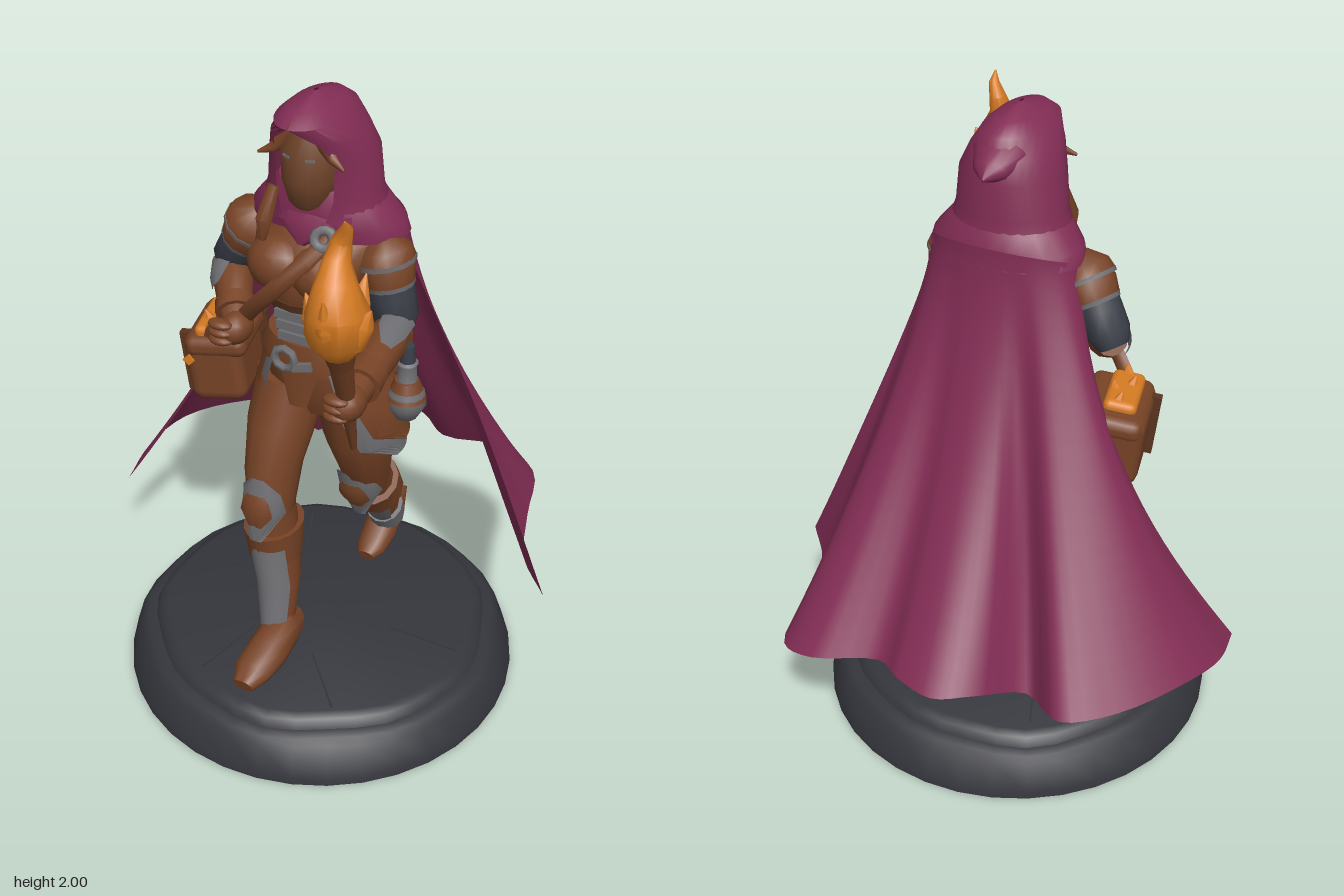
import * as THREE from 'three';
import { toCreasedNormals } from 'three/addons/utils/BufferGeometryUtils.js';
import { RoundedBoxGeometry } from 'three/addons/geometries/RoundedBoxGeometry.js';
import { ParametricGeometry } from 'three/addons/geometries/ParametricGeometry.js';

const PI = Math.PI;
const mat = (name, color) => {
  const m = new THREE.MeshStandardMaterial({ color, side: THREE.DoubleSide });
  m.name = name;
  return m;
};

// Skin through elliptical rings [x, y, z, rx, rz, fromAngle, toAngle]; a ring with angles is an open plate.
function ringGeometry(rings, tilted, seg) {
  const open = rings[0].length > 5, pos = [], idx = [], up = new THREE.Vector3(0, 1, 0);
  const centres = rings.map(r => new THREE.Vector3(r[0], r[1], r[2]));
  rings.forEach(([, , , rx, rz, a0 = 0, a1 = 2 * PI], i) => {
    const dir = centres[Math.min(i + 1, rings.length - 1)].clone().sub(centres[Math.max(i - 1, 0)]).normalize();
    const q = new THREE.Quaternion();
    if (tilted) q.setFromUnitVectors(up, dir);
    for (let j = 0; j <= seg; j++) {
      const a = a0 + (a1 - a0) * j / seg;
      const p = new THREE.Vector3(rx * Math.cos(a), 0, rz * Math.sin(a)).applyQuaternion(q).add(centres[i]);
      pos.push(p.x, p.y, p.z);
    }
  });
  const w = seg + 1, last = (rings.length - 1) * w;
  for (let i = 0; i < rings.length - 1; i++) for (let j = 0; j < seg; j++) {
    const a = i * w + j;
    idx.push(a, a + w, a + 1, a + 1, a + w, a + w + 1);
  }
  if (!open) {
    const c = pos.length / 3, e = centres[centres.length - 1];
    pos.push(...centres[0].toArray(), ...e.toArray());
    for (let j = 0; j < seg; j++) idx.push(c, j, j + 1, c + 1, last + j + 1, last + j);
  }
  const g = new THREE.BufferGeometry();
  g.setAttribute('position', new THREE.Float32BufferAttribute(pos, 3));
  g.setIndex(idx);
  return toCreasedNormals(g, 0.8);
}

export function createModel() {
  const root = new THREE.Group();
  const cloth = mat('plum cloth', 0x822d54), leather = mat('leather', 0x774326), darkLeather = mat('dark leather', 0x5a3420);
  const steel = mat('steel', 0x6e6e72), slate = mat('slate cloth', 0x3a3e47), stone = mat('stone', 0x35363c);
  const skin = mat('skin', 0x70442a), fire = mat('fire', 0xd67b22);

  const add = (name, geo, m, p = [0, 0, 0], r = [0, 0, 0], s = [1, 1, 1]) => {
    const o = new THREE.Mesh(geo, m);
    o.name = name;
    o.position.set(...p); o.rotation.set(...r); o.scale.set(...s);
    root.add(o);
  };
  const stack = (name, m, rings, seg = 16) => add(name, ringGeometry(rings, false, seg), m);
  const limb = (name, m, rings, seg = 12) => add(name, ringGeometry(rings, true, seg), m);
  const ball = (name, m, p, s, r) => add(name, new THREE.SphereGeometry(1, 14, 10), m, p, r, s);
  const box = (name, m, p, s, r) => add(name, new THREE.BoxGeometry(...s), m, p, r);

  // Rocky base with a stepped, worn rim and cracks
  const rim = [[0, 0], [0.63, 0], [0.628, 0.025], [0.59, 0.11], [0.57, 0.13], [0.54, 0.136], [0.525, 0.165], [0.5, 0.175], [0, 0.177]];
  const base = new THREE.LatheGeometry(rim.map(p => new THREE.Vector2(...p)), 36);
  const bp = base.attributes.position;
  for (let i = 0; i < bp.count; i++) {
    const x = bp.getX(i), y = bp.getY(i), z = bp.getZ(i), a = Math.atan2(z, x);
    const k = y > 0.05 ? 1 + 0.012 * Math.sin(5 * a) + 0.01 * Math.cos(9 * a) : 1;
    bp.setXYZ(i, x * k, y, z * k);
  }
  add('base', toCreasedNormals(base, 0.75), stone, [0.026, 0, 0.06]);
  for (let i = 0; i < 6; i++) {
    const a = i * 1.05 + 0.2 * Math.sin(i * 3);
    box('stoneCrack', stone, [0.03 + 0.36 * Math.cos(a), 0.175, 0.06 + 0.36 * Math.sin(a)], [0.24, 0.006, 0.006], [0, -a + 0.3 * Math.sin(i), 0]);
  }

  // Cape: a gathered collar line flaring to a wavy hem
  const hem = new THREE.CatmullRomCurve3([
    [-0.72, 0.42, 0.06], [-0.74, 0.45, -0.1], [-0.7, 0.48, -0.27], [-0.57, 0.47, -0.47], [-0.43, 0.46, -0.57],
    [-0.28, 0.43, -0.48], [-0.18, 0.5, -0.63], [-0.08, 0.5, -0.69], [0.05, 0.5, -0.66], [0.15, 0.48, -0.6],
    [0.35, 0.46, -0.665], [0.48, 0.43, -0.62], [0.55, 0.42, -0.4], [0.62, 0.41, -0.2], [0.74, 0.41, -0.06],
  ].map(p => new THREE.Vector3(...p)));
  const lerp = THREE.MathUtils.lerp;
  add('cape', new ParametricGeometry((u, v, t) => {
    const h = hem.getPoint(u), s = Math.sin(PI * u);
    t.set(lerp(0.04 - 0.23 * Math.cos(PI * u), h.x, v ** 1.35), lerp(1.59 + 0.06 * s, h.y, v),
      lerp(0.03 - 0.15 * s, h.z, v ** 1.65) - 0.11 * Math.sin(PI * v) * (2 * u - 1) ** 2);
  }, 56, 20), cloth);

  // Mantle and pointed hood with a face opening
  stack('mantle', cloth, [[0.04, 1.59, 0.025, 0.238, 0.15], [0.04, 1.63, 0.035, 0.228, 0.15], [0.04, 1.68, 0.045, 0.185, 0.147], [0.04, 1.74, 0.06, 0.13, 0.12]], 24);
  limb('mantlePoint', cloth, [[0.04, 1.58, 0.2, 0.01, 0.01], [0.04, 1.63, 0.17, 0.09, 0.04], [0.04, 1.7, 0.13, 0.1, 0.04]]);
  const hood = (y, z, rx, rz, gap) => [0.04, y, z, rx, rz, PI / 2 + gap, 2.5 * PI - gap];
  stack('hood', cloth, [hood(1.65, 0.045, 0.19, 0.15, 0.35), hood(1.72, 0.055, 0.165, 0.142, 0.55), hood(1.83, 0.06, 0.152, 0.15, 0.65),
    hood(1.89, 0.085, 0.128, 0.155, 0.58), hood(1.945, 0.11, 0.095, 0.16, 0.02), hood(1.975, 0.11, 0.06, 0.115, 0), hood(2, 0.11, 0.005, 0.01, 0)], 28);
  limb('hoodPeak', cloth, [[0.04, 1.89, 0.06, 0.08, 0.07], [0.04, 1.885, -0.02, 0.085, 0.06], [0.04, 1.86, -0.08, 0.05, 0.035], [0.04, 1.85, -0.12, 0.004, 0.004]], 16);

  // Head, eyes and loose hair
  stack('head', skin, [[0.04, 1.66, 0.13, 0.035, 0.04], [0.04, 1.7, 0.14, 0.06, 0.07], [0.04, 1.77, 0.13, 0.085, 0.095], [0.04, 1.85, 0.12, 0.092, 0.1], [0.04, 1.92, 0.11, 0.07, 0.08]]);
  stack('neck', skin, [[0.04, 1.58, 0.08, 0.06, 0.06], [0.04, 1.72, 0.11, 0.05, 0.055]]);
  for (const s of [-1, 1]) {
    box('eye', steel, [0.04 + s * 0.036, 1.842, 0.212], [0.026, 0.006, 0.006], [0, s * 0.4, 0]);
    limb('hairLock', leather, [[0.04 + s * 0.13, 1.83, 0.2, 0.004, 0.004], [0.04 + s * 0.09, 1.845, 0.185, 0.015, 0.012], [0.04 + s * 0.05, 1.895, 0.175, 0.03, 0.02], [0.04, 1.92, 0.175, 0.02, 0.015]], 8);
  }
  limb('braid', leather, [[-0.07, 1.58, 0.22, 0.01, 0.01], [-0.065, 1.64, 0.22, 0.025, 0.02], [-0.055, 1.73, 0.18, 0.018, 0.018]], 8);

  // Torso: hips, slate waist, leather bodice
  stack('hips', leather, [[0.04, 1.0, 0.04, 0.14, 0.12], [0.04, 1.1, 0.06, 0.18, 0.14], [0.04, 1.2, 0.08, 0.15, 0.12]]);
  stack('waist', slate, [[0.03, 1.18, 0.08, 0.14, 0.115], [0.03, 1.28, 0.1, 0.118, 0.1], [0.03, 1.4, 0.11, 0.135, 0.115]]);
  stack('bodice', leather, [[0.03, 1.39, 0.11, 0.135, 0.125], [0.03, 1.43, 0.115, 0.155, 0.135], [0.03, 1.51, 0.11, 0.175, 0.14], [0.03, 1.58, 0.08, 0.185, 0.12], [0.03, 1.66, 0.06, 0.09, 0.08]]);
  stack('underbustBand', darkLeather, [[0.03, 1.375, 0.11, 0.138, 0.128], [0.03, 1.41, 0.113, 0.148, 0.135]]);
  stack('stomachPanel', leather, [[0.03, 1.2, 0.085, 0.14, 0.125, 1.0, 2.14], [0.03, 1.29, 0.1, 0.122, 0.11, 1.0, 2.14], [0.03, 1.4, 0.11, 0.14, 0.127, 1.0, 2.14]]);
  for (const s of [-1, 1]) ball('bust', leather, [0.03 + s * 0.065, 1.5, 0.18], [0.1, 0.085, 0.088]);
  for (let i = 0; i < 3; i++) box('bodiceClasp', steel, [0.03, 1.29 + i * 0.04, 0.216 + i * 0.008], [0.11, 0.027, 0.02]);
  stack('belt', leather, [[0.035, 1.17, 0.075, 0.18, 0.15], [0.03, 1.21, 0.08, 0.175, 0.148], [0.03, 1.265, 0.09, 0.145, 0.13]], 20);
  add('beltBuckle', new THREE.TorusGeometry(0.033, 0.013, 6, 8), steel, [0.0, 1.22, 0.232]);
  box('buckleTongue', steel, [0.055, 1.205, 0.23], [0.06, 0.025, 0.015], [0, 0.2, 0.2]);
  stack('frontTab', leather, [[0.03, 1.06, 0.07, 0.16, 0.155, 1.35, 1.7], [0.03, 1.2, 0.08, 0.16, 0.145, 1.1, 1.95]], 8);

  // Hip guards: steel edged leather panels flaring over the thighs
  const tasset = [[0.865, 0.03, 0.25, 0.19, -0.8, 0.15], [0.92, 0.035, 0.245, 0.195, -0.85, 0.75], [1.02, 0.045, 0.23, 0.195, -0.85, 0.92], [1.12, 0.06, 0.205, 0.185, -0.8, 0.95], [1.19, 0.07, 0.18, 0.17, -0.75, 1.0]];
  for (const s of [-1, 1]) {
    const k = s < 0 ? 0.88 : 1;
    const panel = (grow, inset, lift) => tasset.map(([y, z, rx, rz, a, b]) => {
      const f = a + inset, t = b - inset;
      return [0.035, y + (y < 1.1 ? lift : 0), z, rx * k + grow, rz + grow, s > 0 ? f : PI - t, s > 0 ? t : PI - f];
    });
    stack('hipGuardTrim', steel, panel(0, 0, 0), 14);
    stack('hipGuard', leather, panel(0.008, 0.17, 0.045), 14);
  }

  // Legs: leading right leg, trailing left leg
  stack('rightThigh', leather, [[-0.05, 0.68, 0.24, 0.07, 0.08], [-0.06, 0.82, 0.2, 0.085, 0.105], [-0.06, 0.95, 0.14, 0.105, 0.12], [-0.05, 1.1, 0.08, 0.11, 0.12]]);
  stack('rightBoot', leather, [[0.0, 0.2, 0.3, 0.05, 0.07], [0.0, 0.31, 0.285, 0.047, 0.065], [-0.02, 0.42, 0.24, 0.058, 0.08], [-0.045, 0.56, 0.225, 0.07, 0.09], [-0.05, 0.72, 0.24, 0.068, 0.08]]);
  limb('rightFoot', leather, [[0.01, 0.23, 0.23, 0.045, 0.055], [0.015, 0.25, 0.3, 0.06, 0.075], [0.015, 0.23, 0.4, 0.066, 0.06], [0.01, 0.215, 0.48, 0.062, 0.042], [0.01, 0.2, 0.535, 0.035, 0.025]]);
  stack('rightShinPlate', steel, [[0, 0.27, 0.29, 0.055, 0.072, 0.6, 2.54], [-0.02, 0.42, 0.245, 0.068, 0.088, 0.5, 2.64], [-0.045, 0.56, 0.23, 0.08, 0.097, 0.6, 2.54]], 10);
  stack('rightCalfBand', leather, [[-0.045, 0.5, 0.225, 0.08, 0.092], [-0.05, 0.61, 0.225, 0.088, 0.112]]);
  limb('leftThigh', leather, [[0.12, 0.64, -0.07, 0.07, 0.075], [0.14, 0.77, -0.01, 0.085, 0.09], [0.14, 0.92, 0.04, 0.105, 0.115], [0.12, 1.1, 0.06, 0.11, 0.12]]);
  limb('leftBoot', leather, [[0.07, 0.28, -0.35, 0.045, 0.05], [0.075, 0.36, -0.3, 0.048, 0.055], [0.1, 0.5, -0.2, 0.068, 0.075], [0.12, 0.66, -0.08, 0.068, 0.07]]);
  limb('leftShinPlate', steel, [[0.076, 0.36, -0.3, 0.056, 0.063, 0.7, 2.44], [0.1, 0.5, -0.2, 0.077, 0.083, 0.6, 2.54], [0.105, 0.53, -0.18, 0.077, 0.083, 0.6, 2.54]], 10);
  limb('leftFoot', leather, [[0.06, 0.36, -0.42, 0.04, 0.04], [0.06, 0.3, -0.37, 0.054, 0.062], [0.06, 0.24, -0.3, 0.058, 0.058], [0.06, 0.21, -0.23, 0.05, 0.035], [0.06, 0.2, -0.195, 0.03, 0.02]]);
  limb('leftCalfBand', leather, [[0.105, 0.52, -0.18, 0.085, 0.09], [0.115, 0.6, -0.12, 0.085, 0.09]]);
  limb('leftAnkleGuard', steel, [[0.07, 0.29, -0.335, 0.058, 0.063], [0.077, 0.36, -0.295, 0.061, 0.068]]);
  for (const [x, y, z, r] of [[-0.05, 0.72, 0.25, -0.1], [0.125, 0.68, -0.04, 0.35]]) {
    const knee = new THREE.Group();
    knee.name = 'kneeGuard';
    const plate = (m, k, g) => knee.add(new THREE.Mesh(ringGeometry([[0, -0.12 * k, -0.005, 0.075 + g, 0.085 + g, 1.3, 1.84],
      [0, -0.02, 0, 0.077 + g, 0.095 + g, PI / 2 - 1.3 * k, PI / 2 + 1.3 * k], [0, 0.05 * k, 0, 0.077 + g, 0.09 + g, PI / 2 - k, PI / 2 + k],
      [0, 0.1 * k, 0, 0.07 + g, 0.08 + g, 1.3, 1.84]], false, 8), m));
    plate(steel, 1, 0); plate(leather, 0.55, 0.007);
    knee.position.set(x, y, z); knee.rotation.x = r;
    root.add(knee);
  }

  // Arms: shoulder, elbow, hand for each side
  const arms = { left: [[0.23, 1.55, 0.07], [0.28, 1.34, 0.08], [0.315, 1.3, 0.42]], right: [[-0.18, 1.55, 0.07], [-0.29, 1.37, 0.03], [-0.17, 1.28, 0.21]] };
  for (const [side, [s, e, h]] of Object.entries(arms)) {
    const at = (a, b, t, r, q = r) => [...a.map((v, i) => lerp(v, b[i], t)), r, q];
    limb(side + 'UpperArm', slate, [at(e, s, -0.1, 0.045), at(e, s, 0.1, 0.065), at(e, s, 0.4, 0.067), at(e, s, 1, 0.068)]);
    limb(side + 'SleeveCuff', steel, [at(e, s, 0.52, 0.07), at(e, s, 0.58, 0.073)]);
    limb(side + 'Sleeve', leather, [at(e, s, 0.57, 0.072), at(e, s, 0.8, 0.08), at(e, s, 1.12, 0.06)]);
    limb(side + 'ShoulderTrim', steel, [at(e, s, 0.84, 0.086), at(e, s, 0.9, 0.087)]);
    limb(side + 'ShoulderGuard', leather, [at(e, s, 0.88, 0.086), at(e, s, 1.05, 0.078), at(e, s, 1.25, 0.03)]);
    limb(side + 'Bracer', leather, [at(e, h, 0.05, 0.05), at(e, h, 0.3, 0.062), at(e, h, 0.7, 0.052), at(e, h, 1, 0.042)]);
    limb(side + 'BracerPlate', steel, [[...at(e, h, 0.04, 0.06), -1.2, 1.5], [...at(e, h, 0.3, 0.069), -0.8, 1.1], [...at(e, h, 0.5, 0.064), -0.2, 0.6]]
      .map(([x, y, z, rx, rz, a, b]) => side === 'left' ? [x, y, z, rx, rz, a * 0.8 - 1.25, b * 0.6 - 1.25] : [x, y, z, rx, rz, PI - b, PI - a]), 10);
    limb(side + 'BracerCuff', leather, [at(e, h, 0.66, 0.058), at(e, h, 0.86, 0.06)]);
    ball(side + 'Hand', leather, at(e, h, 1.07, 0).slice(0, 3), [0.046, 0.05, 0.062]);
    for (let i = 0; i < 3; i++) ball(side + 'Finger', leather, [h[0] - 0.015, h[1] - 0.028 + i * 0.026, h[2] + 0.065], [0.038, 0.015, 0.025]);
  }

  // Torch with a licking flame
  limb('torchHandle', leather, [[0.29, 1.09, 0.36, 0.01, 0.01], [0.31, 1.27, 0.435, 0.022, 0.022], [0.335, 1.49, 0.53, 0.034, 0.034]]);
  limb('torchHead', leather, [[0.333, 1.47, 0.52, 0.036, 0.036], [0.343, 1.56, 0.555, 0.052, 0.052]], 10);
  limb('flame', fire, [[0.34, 1.53, 0.55, 0.05, 0.05], [0.345, 1.59, 0.565, 0.082, 0.085], [0.35, 1.66, 0.575, 0.08, 0.085], [0.34, 1.72, 0.565, 0.055, 0.065],
    [0.325, 1.77, 0.53, 0.035, 0.04], [0.33, 1.82, 0.515, 0.026, 0.028], [0.35, 1.86, 0.53, 0.016, 0.016], [0.355, 1.89, 0.55, 0.002, 0.002]]);
  for (const [x, y, z] of [[0.44, 1.68, 0.57], [0.37, 1.71, 0.46], [0.275, 1.7, 0.6], [0.35, 1.72, 0.65]])
    limb('flameLick', fire, [[lerp(0.35, x, 0.4), 1.58, lerp(0.57, z, 0.4), 0.04, 0.04], [lerp(0.35, x, 0.8), 1.64, lerp(0.57, z, 0.8), 0.028, 0.028], [x, y, z, 0.002, 0.002]], 8);

  // Chest strap and its ring
  limb('chestStrap', leather, [[-0.19, 1.25, 0.17, 0.025, 0.012], [-0.1, 1.36, 0.235, 0.025, 0.012], [0.0, 1.47, 0.275, 0.025, 0.012], [0.08, 1.56, 0.25, 0.025, 0.012], [0.14, 1.64, 0.14, 0.025, 0.012]], 8);
  add('strapRing', new THREE.TorusGeometry(0.026, 0.015, 6, 12), steel, [0.11, 1.615, 0.2], [-0.5, 0.3, 0]);

  // Satchel with flap, straps and glowing goods spilling over the top
  const tilt = [0, 0.25, 0.12];
  add('satchel', new RoundedBoxGeometry(0.18, 0.23, 0.27, 2, 0.04), leather, [-0.31, 1.06, 0.05], tilt);
  add('satchelFlap', new RoundedBoxGeometry(0.192, 0.07, 0.28, 2, 0.03), leather, [-0.305, 1.14, 0.05], tilt);
  for (const z of [-0.03, 0.12]) box('satchelStrap', darkLeather, [-0.305, 1.06, z], [0.195, 0.2, 0.025], tilt);
  limb('satchelSling', leather, [[-0.3, 1.16, 0.16, 0.025, 0.012], [-0.25, 1.23, 0.18, 0.025, 0.012], [-0.17, 1.29, 0.2, 0.025, 0.012]], 8);
  add('satchelGoods', new RoundedBoxGeometry(0.1, 0.05, 0.2, 2, 0.02), fire, [-0.32, 1.175, 0.07], tilt);
  for (let i = 0; i < 4; i++) limb('satchelSpike', fire, [[-0.33 + 0.03 * (i % 2), 1.18, 0.0 + 0.05 * i, 0.025, 0.025], [-0.34 + 0.05 * (i % 2), 1.22, 0.01 + 0.05 * i, 0.004, 0.004]], 6);
  box('satchelClasp', fire, [-0.35, 1.09, 0.2], [0.026, 0.026, 0.008], [0, 0.25, 0.78]);

  // Flask and small pouch on the left hip
  add('flask', new THREE.LatheGeometry([[0, 0], [0.035, 0.005], [0.06, 0.05], [0.054, 0.09], [0.03, 0.13], [0.028, 0.18], [0.032, 0.19], [0, 0.2]].map(p => new THREE.Vector2(...p)), 14), steel, [0.3, 1.005, 0.045]);
  add('flaskSleeve', new THREE.CylinderGeometry(0.036, 0.06, 0.06, 14), leather, [0.3, 1.105, 0.045]);
  add('flaskStopper', new THREE.CylinderGeometry(0.02, 0.024, 0.06, 10), slate, [0.3, 1.22, 0.045]);
  add('hipPouch', new RoundedBoxGeometry(0.08, 0.13, 0.1, 2, 0.02), leather, [0.22, 1.17, -0.04]);

  return root;
}
